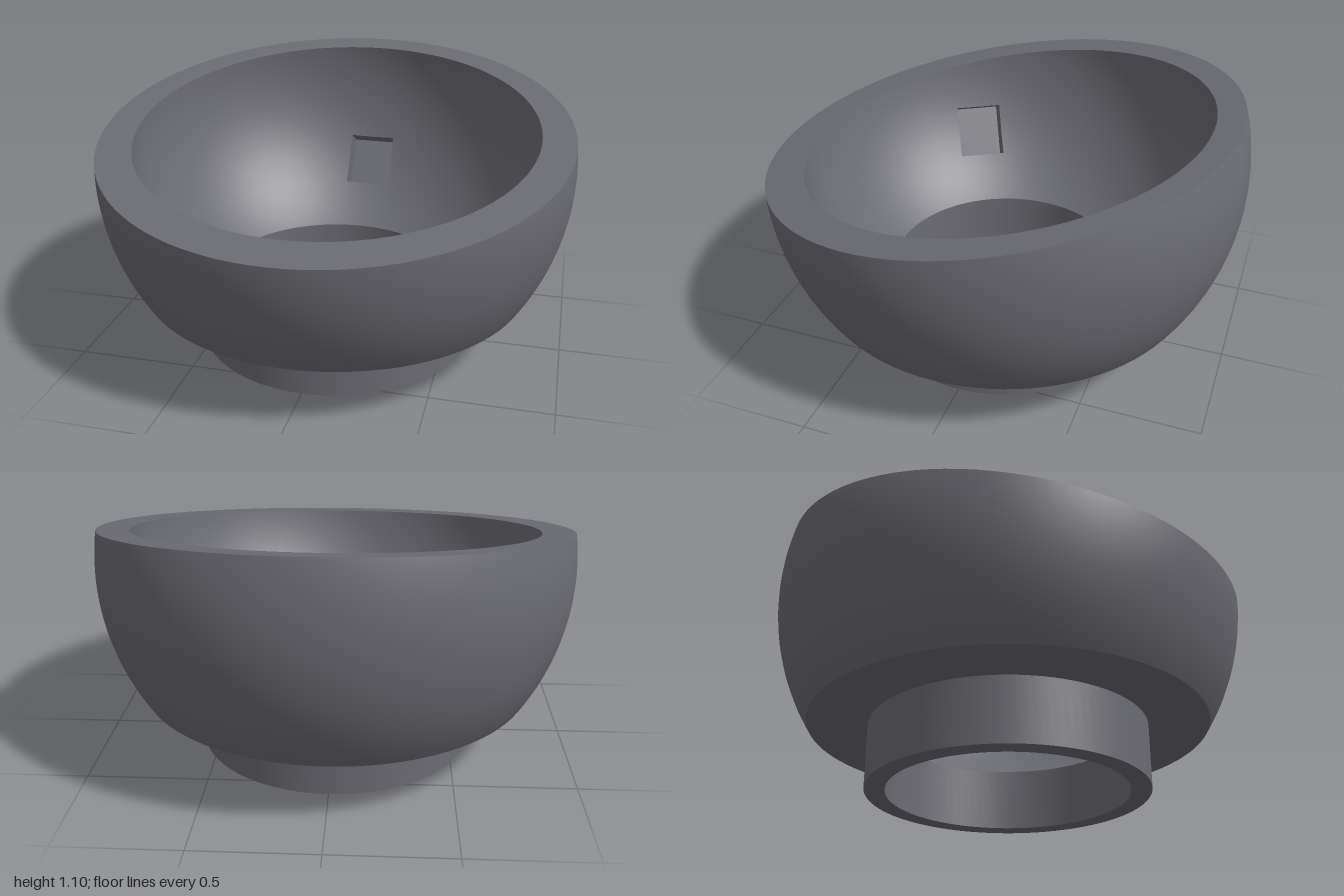
import * as THREE from 'three';

const SEG = 96;
const SIDE = 32; // divisions per pocket-patch side, three patches = SEG
const OUTER = { r: 1, y: 0.81 };
const INNER = { r: 0.853, y: 0.96 };
const NECK_R = 0.59, HOLE_R = 0.505, BASE_Y = 0.27;
const CUT_Y = 0.936, CUT_SLOPE = Math.tan(Math.PI / 18);
const POCKET = { w: 0.105, h: 0.12, back: 0.953, tilt: Math.PI / 6 };

// Point on a sphere from azimuth (0 = front) and elevation
const onSphere = (s, a, e) => new THREE.Vector3(
  s.r * Math.cos(e) * Math.sin(a), s.y + s.r * Math.sin(e), s.r * Math.cos(e) * Math.cos(a));

// Elevation at which the slanted rim plane cuts a sphere
function rimElevation(s, a) {
  const k = CUT_SLOPE * Math.cos(a);
  return Math.asin((CUT_Y - s.y) / s.r / Math.hypot(1, k)) - Math.atan(k);
}

// Grid surface; faces point along du x dv
function grid(f, nu, nv) {
  const pos = [], index = [];
  for (let j = 0; j <= nv; j++)
    for (let i = 0; i <= nu; i++) pos.push(...f(i / nu, j / nv).toArray());
  for (let j = 0; j < nv; j++)
    for (let i = 0; i < nu; i++) {
      const a = j * (nu + 1) + i, b = a + 1, d = a + nu + 1, c = d + 1;
      index.push(a, b, d, b, c, d);
    }
  const g = new THREE.BufferGeometry();
  g.setAttribute('position', new THREE.Float32BufferAttribute(pos, 3));
  g.setIndex(index);
  g.computeVertexNormals();
  return g;
}

// Exact sphere normals (sign -1 for the inside)
function sphereNormals(g, s, sign) {
  const p = g.attributes.position, v = new THREE.Vector3();
  for (let i = 0; i < p.count; i++) {
    v.fromBufferAttribute(p, i);
    v.y -= s.y;
    v.normalize().multiplyScalar(sign);
    g.attributes.normal.setXYZ(i, v.x, v.y, v.z);
  }
  return g;
}

function flat(g) {
  const f = g.toNonIndexed();
  f.computeVertexNormals();
  return f;
}

// Counterclockwise walk round the square [-1, 1]
function square(u) {
  const q = Math.min(u * 4, 4), side = Math.floor(q + 1e-9) % 4;
  const t = 2 * (q - Math.floor(q + 1e-9)) - 1;
  return [[t, -1], [1, t], [-t, 1], [-1, -t]][side];
}

// Pocket frame: x sideways, t up its tilt, s outwards from the cavity centre
function pocketPoint(x, t, s) {
  const c = Math.cos(POCKET.tilt), n = Math.sin(POCKET.tilt);
  return new THREE.Vector3(x, t * c - s * n, t * n + s * c);
}
function pocketMouth(i, j) {
  const x = i * POCKET.w, t = j * POCKET.h;
  return pocketPoint(x, t, Math.sqrt(INNER.r ** 2 - x * x - t * t));
}

export function createModel() {
  const model = new THREE.Group();
  const grey = new THREE.MeshStandardMaterial({ color: 0x6b6b73 });
  grey.name = 'dark grey plastic';
  const add = (name, geometry, parent = model) => {
    const m = new THREE.Mesh(geometry, grey);
    m.name = name;
    parent.add(m);
    return m;
  };

  // Outer shell, cut at the slanted rim
  const outerLow = Math.asin((BASE_Y - OUTER.y) / OUTER.r);
  add('outerShell', sphereNormals(grid((u, v) => {
    const a = u * Math.PI * 2;
    return onSphere(OUTER, a, THREE.MathUtils.lerp(outerLow, rimElevation(OUTER, a), v));
  }, SEG, 32), OUTER, 1));

  // Slanted rim
  add('rim', grid((u, v) => {
    const a = u * Math.PI * 2;
    return onSphere(OUTER, a, rimElevation(OUTER, a))
      .lerp(onSphere(INNER, a, rimElevation(INNER, a)), v);
  }, SEG, 1));

  // Neck: hole wall, bottom ring, outer wall and shell underside
  const innerLow = -Math.acos(HOLE_R / INNER.r);
  const shellLowR = OUTER.r * Math.cos(outerLow);
  const profile = [
    [HOLE_R, INNER.y + INNER.r * Math.sin(innerLow)], [HOLE_R, 0],
    [NECK_R, 0], [NECK_R, BASE_Y], [shellLowR, BASE_Y],
  ].map(p => new THREE.Vector2(...p));
  ['neckHole', 'neckBottom', 'neckWall', 'shellUnderside'].forEach((name, i) =>
    add(name, new THREE.LatheGeometry([profile[i], profile[i + 1]], SEG)));

  // Cavity in three sectors, each with a tilted bearing pocket
  [Math.PI / 3, Math.PI, -Math.PI / 3].forEach(az => {
    add('cavityWall', sphereNormals(grid((u, v) => {
      const [i, j] = square(u);
      const p = pocketMouth(i, j);
      const a0 = Math.atan2(p.x, p.z), e0 = Math.asin(p.y / INNER.r);
      const a1 = i * Math.PI / 3;
      const e1 = THREE.MathUtils.lerp(innerLow, rimElevation(INNER, az + a1), (j + 1) / 2);
      return onSphere(INNER, az + a0 + (a1 - a0) * v, e0 + (e1 - e0) * v);
    }, SIDE * 4, 20), INNER, -1));

    const pocket = new THREE.Group();
    pocket.name = 'bearingPocket';
    pocket.position.y = INNER.y;
    pocket.rotation.y = az;
    model.add(pocket);
    add('pocketWalls', flat(grid((u, v) => {
      const [i, j] = square(u);
      return pocketPoint(i * POCKET.w, j * POCKET.h, POCKET.back).lerp(pocketMouth(i, j), v);
    }, SIDE * 4, 1)), pocket);
    add('pocketBack', grid((u, v) =>
      pocketPoint((2 * u - 1) * POCKET.w, (1 - 2 * v) * POCKET.h, POCKET.back), 1, 1), pocket);
  });

  return model;
}
